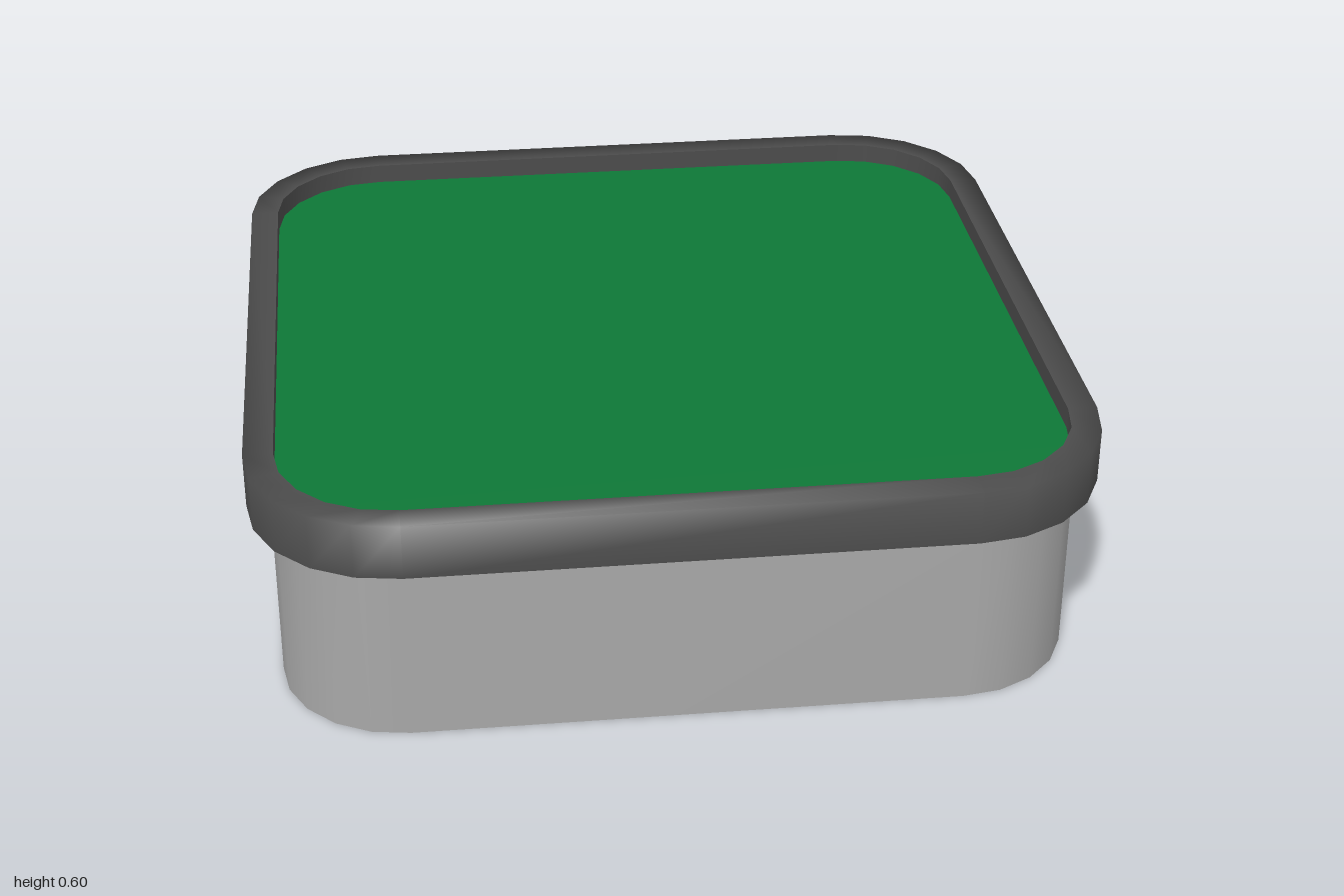
import * as THREE from 'three';

const CENTRE = 0.65; // all corner arcs share this centre
const STEPS = 5;     // facets per corner

// Outline of a rounded square with the given half width, as [x, z] pairs
function outline(half) {
  const points = [];
  const r = half - CENTRE;
  for (let corner = 0; corner < 4; corner++) {
    const mid = (corner + 0.5) * Math.PI / 2;
    for (let i = 0; i <= STEPS; i++) {
      const a = (corner + i / STEPS) * Math.PI / 2;
      points.push([
        Math.sign(Math.cos(mid)) * CENTRE + r * Math.cos(a),
        Math.sign(Math.sin(mid)) * CENTRE + r * Math.sin(a),
      ]);
    }
  }
  return points;
}

// Sweep a profile of [half width, y] points around the rounded square
function sweep(profile) {
  const position = [], index = [];
  profile.forEach(([half, y]) => outline(half).forEach(([x, z]) => position.push(x, y, z)));
  const n = 4 * (STEPS + 1);
  for (let i = 0; i < profile.length - 1; i++) {
    for (let j = 0; j < n; j++) {
      const k = (j + 1) % n;
      const a = i * n + j, b = i * n + k;
      index.push(a, a + n, b, b, a + n, b + n);
    }
  }
  const geometry = new THREE.BufferGeometry();
  geometry.setAttribute('position', new THREE.Float32BufferAttribute(position, 3));
  geometry.setIndex(index);
  geometry.computeVertexNormals();
  return geometry;
}

export function createModel() {
  const model = new THREE.Group();
  model.name = 'roundedTray';

  const wallGrey = new THREE.MeshStandardMaterial({ color: 0xa8a8a8, side: THREE.DoubleSide });
  wallGrey.name = 'wall grey';
  const rimGrey = new THREE.MeshStandardMaterial({ color: 0x4c4c4c });
  rimGrey.name = 'rim dark grey';
  const green = new THREE.MeshStandardMaterial({ color: 0x0e7837, side: THREE.DoubleSide });
  green.name = 'surface green';

  const add = (name, geometry, material, parent = model) => {
    const mesh = new THREE.Mesh(geometry, material);
    mesh.name = name;
    parent.add(mesh);
    return mesh;
  };

  // Thin wall, open underneath
  add('wall', sweep([[0.945, 0], [0.945, 0.47]]), wallGrey);

  // Rim: the outer side blends softly into the top, other edges are sharp
  const rim = new THREE.Group();
  rim.name = 'rim';
  model.add(rim);
  add('rimUnderside', sweep([[0.93, 0.46], [1, 0.46]]), rimGrey, rim);
  add('rimOuterAndTop', sweep([[1, 0.46], [1, 0.595], [0.93, 0.595]]), rimGrey, rim);
  add('rimInnerSide', sweep([[0.93, 0.595], [0.93, 0.46]]), rimGrey, rim);

  // Sunken green surface
  const shape = new THREE.Shape(outline(0.93).map(([x, z]) => new THREE.Vector2(x, z)));
  const surface = add('surface', new THREE.ShapeGeometry(shape), green);
  surface.rotation.x = -Math.PI / 2;
  surface.position.y = 0.545;

  return model;
}
